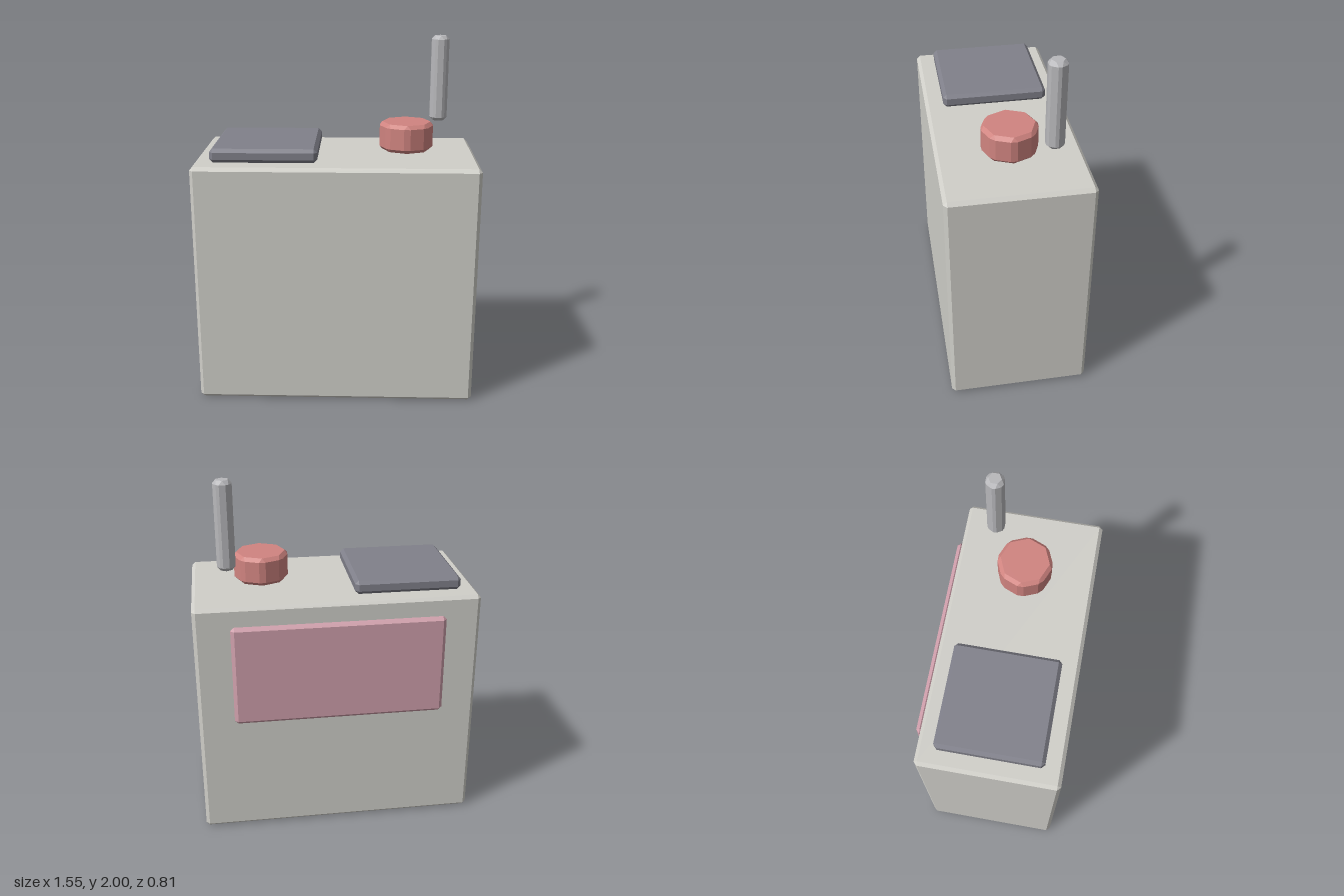
import * as THREE from 'three';
import { ConvexGeometry } from 'three/addons/geometries/ConvexGeometry.js';

const BEVEL = 0.0195;

const rectangle = (w, d) => [[1, 1], [-1, 1], [-1, -1], [1, -1]]
  .map(([x, z]) => new THREE.Vector2(x * w / 2, z * d / 2));

const polygon = (n, radius, start = 0) => Array.from({ length: n }, (_, i) => {
  const a = start + i * 2 * Math.PI / n;
  return new THREE.Vector2(radius * Math.cos(a), radius * Math.sin(a));
});

// Upright prism with every edge chamfered: inset end faces, clipped corners
function beveledPrism(corners, height) {
  const n = corners.length, points = [];
  corners.forEach((c, i) => {
    const toPrev = corners[(i + n - 1) % n].clone().sub(c).normalize();
    const toNext = corners[(i + 1) % n].clone().sub(c).normalize();
    const sine = Math.abs(toPrev.cross(toNext));
    const inset = c.clone().addScaledVector(toPrev, BEVEL / sine).addScaledVector(toNext, BEVEL / sine);
    for (const s of [-1, 1]) {
      points.push(new THREE.Vector3(inset.x, s * height / 2, inset.y));
      for (const dir of [toPrev, toNext]) {
        const p = c.clone().addScaledVector(dir, BEVEL);
        points.push(new THREE.Vector3(p.x, s * (height / 2 - BEVEL), p.y));
      }
    }
  });
  return new ConvexGeometry(points);
}

export function createModel() {
  const model = new THREE.Group();
  model.name = 'device';

  const add = (name, geometry, color, x, y, z) => {
    const mesh = new THREE.Mesh(geometry, new THREE.MeshStandardMaterial({ color, flatShading: true }));
    mesh.name = name;
    mesh.position.set(x, y, z);
    model.add(mesh);
    return mesh;
  };

  // Main case
  add('body', beveledPrism(rectangle(1.555, 0.775), 1.367), 0xd0cfc9, 0, 0.6835, 0.018);

  // Square pad on the top, towards -x
  add('topPad', beveledPrism(rectangle(0.585, 0.585), 0.077), 0x80808a, -0.393, 1.406, 0.014);

  // Eight-sided knob hovering just above the top
  add('knob', beveledPrism(polygon(8, 0.156), 0.156), 0xd08480, 0.388, 1.467, 0.016);

  // Six-sided rod, corners pointing along z
  add('rod', beveledPrism(polygon(6, 0.0572, Math.PI / 2), 0.484), 0xb8b8bb, 0.581, 1.758, -0.178);

  // Thin panel on the back
  const panel = add('backPanel', beveledPrism(rectangle(1.164, 0.577), 0.0395), 0xd0a0ac, 0, 0.978, -0.389);
  panel.rotation.x = Math.PI / 2;

  return model;
}
